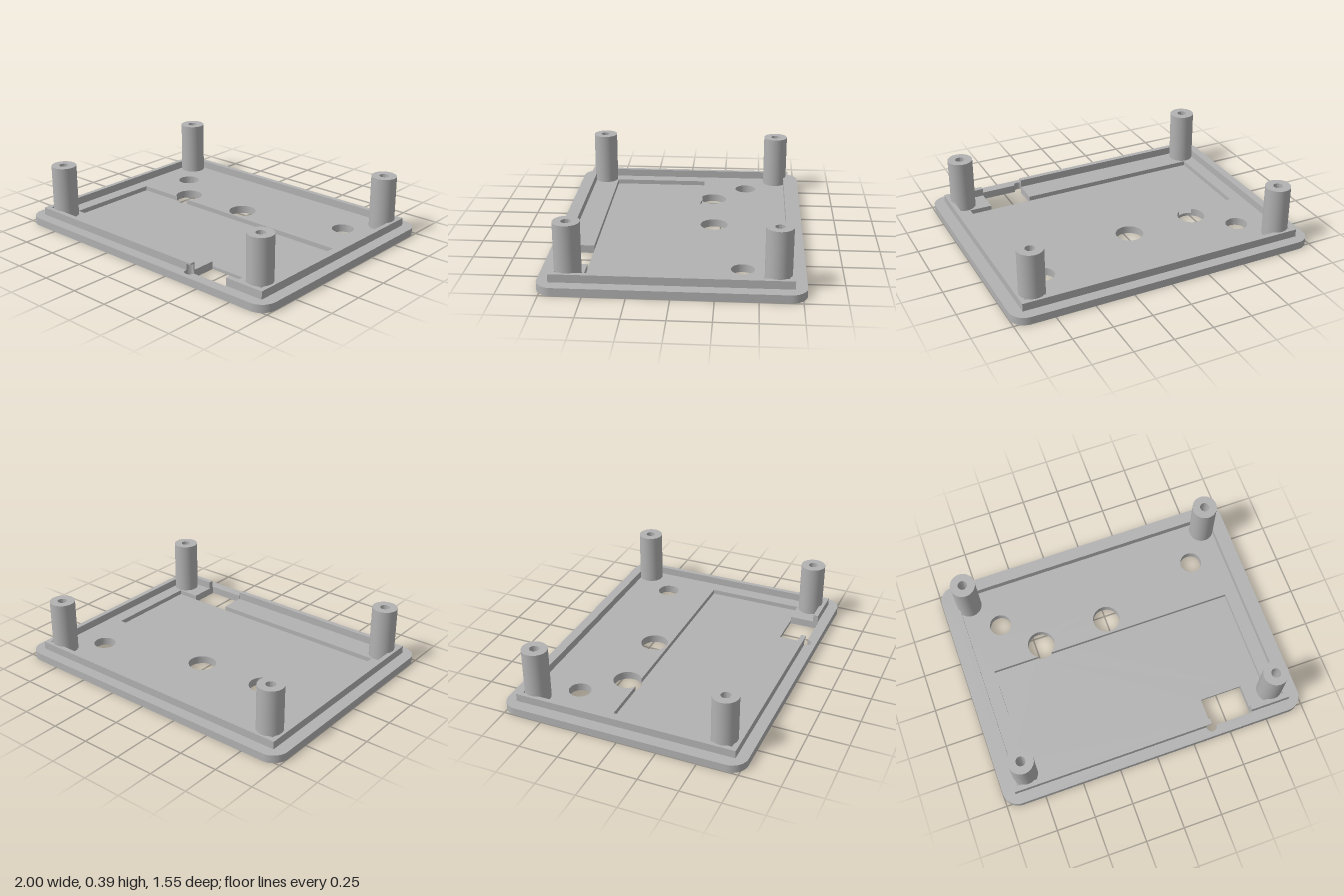
import * as THREE from 'three';
import { toCreasedNormals } from 'three/addons/utils/BufferGeometryUtils.js';

const FLOOR = 0.02, DECK = 0.05, LIP = 0.1, POST = 0.39;

// Round openings: x, z, radius
const HOLES = [
  [-0.675, -0.405, 0.07], [0.675, -0.405, 0.07],
  [0, -0.21, 0.088], [-0.463, -0.185, 0.088],
];

// Points along an arc in the x-z plane
function arc(cx, cz, r, a0, a1, n = 36) {
  return Array.from({ length: n + 1 }, (_, i) => {
    const a = a0 + (a1 - a0) * i / n;
    return [cx + r * Math.cos(a), cz + r * Math.sin(a)];
  });
}

const circle = (x, z, r) => arc(x, z, r, 0, Math.PI * 2, 48).slice(0, -1);
const rect = (x0, z0, x1, z1) => [[x0, z0], [x1, z0], [x1, z1], [x0, z1]];
const toVectors = (pts) => pts.map(([x, z]) => new THREE.Vector2(x, z));

// Horizontal slab between two heights, with openings
function slab(outline, openings, y0, y1) {
  const shape = new THREE.Shape(toVectors(outline));
  openings.forEach((o) => shape.holes.push(new THREE.Path(toVectors(o))));
  const geo = new THREE.ExtrudeGeometry(shape, { depth: y1 - y0, bevelEnabled: false });
  geo.rotateX(Math.PI / 2).translate(0, y1, 0);
  return toCreasedNormals(geo, 0.5);
}

// Shallow underside grooves, interrupted around the round openings
function grooves() {
  const list = [];
  for (let i = -7; i <= 7; i++) {
    const x = i * 0.12;
    let spans = [[-0.61, -0.21]];
    for (const [hx, hz, r] of HOLES) {
      const reach = r + 0.04, dx = Math.abs(x - hx);
      if (dx >= reach) continue;
      const h = Math.sqrt(reach * reach - dx * dx);
      spans = spans.flatMap(([a, b]) => [[a, Math.min(b, hz - h)], [Math.max(a, hz + h), b]]);
    }
    spans.filter(([a, b]) => b - a > 0.03)
      .forEach(([a, b]) => list.push(rect(x - 0.007, a, x + 0.007, b)));
  }
  return list;
}

export function createModel() {
  const group = new THREE.Group();
  const grey = new THREE.MeshStandardMaterial({ color: 0xb2b2b2 });
  grey.name = 'grey plastic';
  const add = (name, geo) => {
    const mesh = new THREE.Mesh(geo, grey);
    mesh.name = name;
    group.add(mesh);
    return mesh;
  };

  // Rounded plate outline
  const q = Math.PI / 2, R = 0.1;
  const outline = [[1, 1], [-1, 1], [-1, -1], [1, -1]].flatMap(([sx, sz], i) =>
    arc(sx * (1 - R), sz * (0.775 - R), R, i * q, (i + 1) * q, 12));

  // Connector opening with a round notch at one corner
  const port = [[0.665, 0.515], [0.665, 0.71],
    ...arc(0.39, 0.71, 0.033, 0, 1.5 * Math.PI), [0.39, 0.515]];

  // Lower layer: grooved underside and pocket floor
  add('basePlate', slab(outline,
    [port, ...HOLES.map((h) => circle(...h)), ...grooves()], 0, FLOOR));

  // Upper layer: pocket joined with the port and the one round opening it meets
  const a = Math.acos(0.046 / 0.088);
  const pocket = [[-0.81, -0.11],
    ...arc(-0.463, -0.185, 0.088, Math.PI - a, 2 * Math.PI + a),
    [0.81, -0.11], [0.81, 0.515], ...port, [-0.81, 0.515]];
  add('deckPlate', slab(outline,
    [pocket, ...HOLES.slice(0, 3).map((h) => circle(...h))], FLOOR, DECK));

  // Raised locating lip, open at the port and notched below its top
  const lip = (end) => [[0.665, 0.705], [0.925, 0.705], [0.925, -0.705],
    [-0.925, -0.705], [-0.925, 0.705], ...end, [0.39, 0.672], [-0.895, 0.672],
    [-0.895, -0.672], [0.895, -0.672], [0.895, 0.672], [0.665, 0.672]];
  const notch = arc(0.39, 0.71, 0.033, Math.PI + 0.152, 1.5 * Math.PI, 10);
  add('lip', slab(lip(notch), [], DECK, 0.09));
  add('lipTop', slab(lip([[0.39, 0.705]]), [], 0.09, LIP));

  // Hollow corner posts
  const profile = [[0.08, DECK], [0.08, POST], [0.03, POST], [0.03, DECK]];
  const postGeo = toCreasedNormals(new THREE.LatheGeometry(toVectors(profile), 48), 0.5);
  for (const x of [-0.828, 0.828]) {
    for (const z of [-0.61, 0.603]) add('cornerPost', postGeo).position.set(x, 0, z);
  }
  return group;
}
